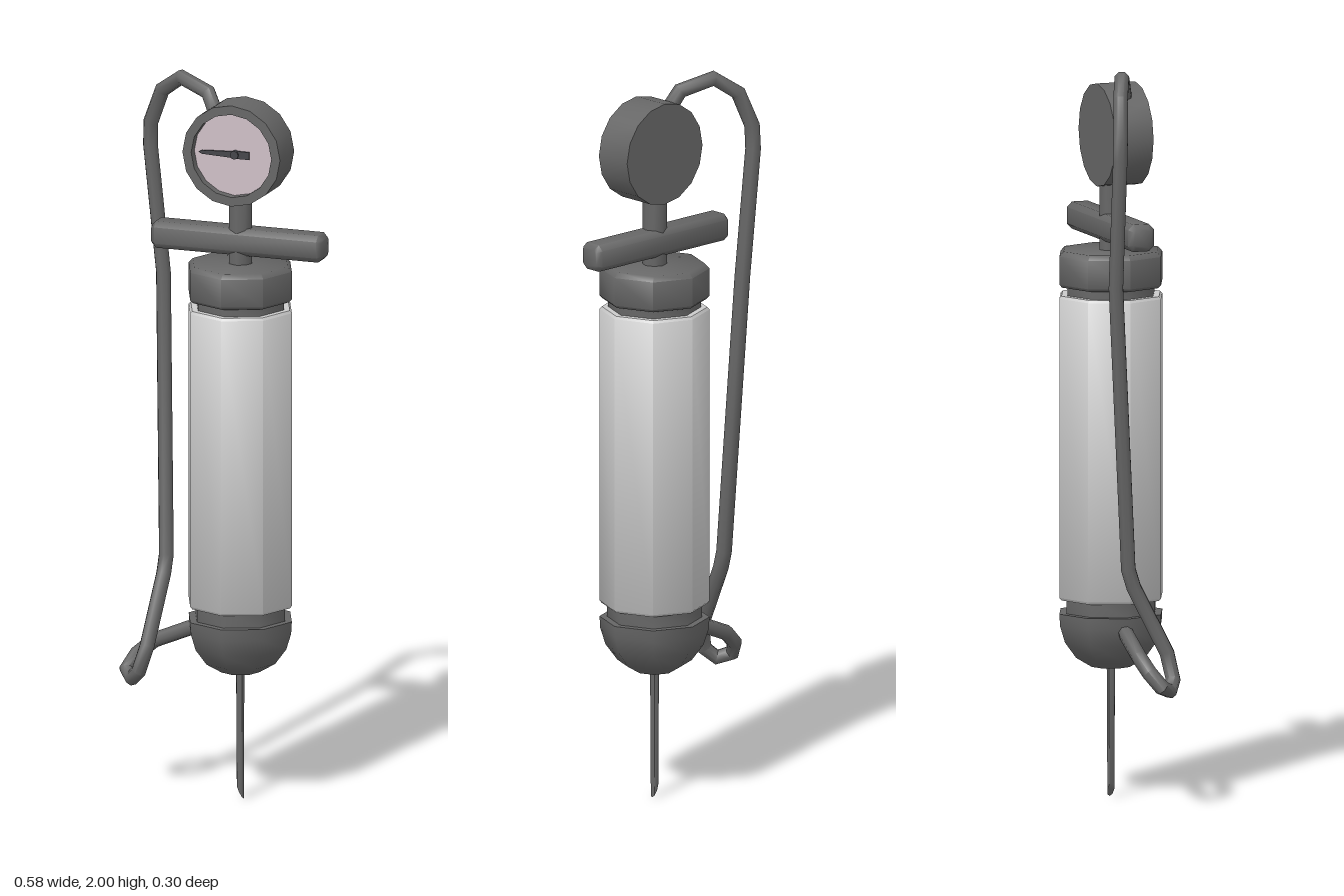
import * as THREE from 'three';
import { toCreasedNormals } from 'three/addons/utils/BufferGeometryUtils.js';

const mat = (color) => new THREE.MeshStandardMaterial({ color });
const grey = mat(0xcccccc), dark = mat(0x666666), dialPink = mat(0xcfbfc7), black = mat(0x444449);
const CX = 0.048; // axis of the pump body

// Tube path made of straight runs with mitred corners
class HosePath extends THREE.Curve {
  constructor(points) {
    super();
    this.p = points.map((a) => new THREE.Vector3(...a));
  }
  getPointAt(u) {
    return this.p[Math.round(u * (this.p.length - 1))].clone();
  }
  getTangentAt(u) {
    const n = this.p.length - 1, i = Math.round(u * n);
    const dir = (a, b) => this.p[b].clone().sub(this.p[a]).normalize();
    const t = new THREE.Vector3();
    if (i > 0) t.add(dir(i - 1, i));
    if (i < n) t.add(dir(i, i + 1));
    return t.normalize();
  }
  getPoint(u) { return this.getPointAt(u); }
}

export function createModel() {
  const model = new THREE.Group();
  model.name = 'handPumpWithGauge';

  const add = (parent, name, geometry, material, x = 0, y = 0, z = 0) => {
    const mesh = new THREE.Mesh(toCreasedNormals(geometry, 0.87), material);
    mesh.name = name;
    mesh.position.set(x, y, z);
    parent.add(mesh);
    return mesh;
  };
  const lathe = (profile, sides) =>
    new THREE.LatheGeometry(profile.map(([r, y]) => new THREE.Vector2(r, y)), sides);

  // Barrel and its end fittings, eight-sided
  add(model, 'barrel', lathe([[0, 0.54], [0.142, 0.54], [0.148, 0.547], [0.148, 1.36], [0.142, 1.367], [0, 1.367]], 8), grey, CX);
  add(model, 'topCap', lathe([[0.125, 1.36], [0.125, 1.39], [0.14, 1.39], [0.148, 1.398], [0.148, 1.475], [0.136, 1.488], [0, 1.488]], 8), dark, CX);
  add(model, 'bottomDome', lathe([[0, 0.348], [0.055, 0.355], [0.1, 0.382], [0.132, 0.425], [0.146, 0.47], [0.148, 0.503], [0.128, 0.503], [0.128, 0.545]], 8), dark, CX);

  // Hollow-looking needle with a slanted tip
  const needle = new THREE.CylinderGeometry(0.012, 0.01, 0.37, 8);
  const np = needle.attributes.position;
  for (let i = 0; i < np.count; i++) {
    if (np.getY(i) < 0) np.setY(i, np.getY(i) + 0.02 - np.getX(i) * 2);
  }
  needle.computeVertexNormals();
  add(model, 'needle', needle, dark, CX, 0.185);

  // Plunger rod and chamfered cross handle
  add(model, 'plungerRod', new THREE.CylinderGeometry(0.033, 0.033, 0.22, 8), dark, CX, 1.58);
  const a = 0.026, b = 0.018;
  const section = new THREE.Shape(
    [[a, -b], [a, b], [b, a], [-b, a], [-a, b], [-a, -b], [-b, -a], [b, -a]].map(([x, y]) => new THREE.Vector2(x, y)));
  const handle = new THREE.ExtrudeGeometry(section, {
    depth: 0.465, bevelEnabled: true, bevelThickness: 0.012, bevelSize: 0.011, bevelSegments: 1,
  });
  handle.translate(0, 0, -0.2325).rotateY(Math.PI / 2);
  add(model, 'handle', handle, dark, 0.046, 1.55, -0.002);

  // Pressure gauge facing forward
  const gauge = new THREE.Group();
  gauge.name = 'gauge';
  gauge.position.set(CX, 1.8, 0);
  model.add(gauge);
  const housing = lathe([[0, -0.04], [0.14, -0.04], [0.14, 0.07], [0.115, 0.07], [0.115, 0.04]], 16);
  add(gauge, 'gaugeHousing', housing.rotateX(Math.PI / 2), dark);
  add(gauge, 'dial', new THREE.CircleGeometry(0.118, 16), dialPink, 0, 0, 0.045);

  // Dial pointer: tapered arm, hub and tail
  const arm = new THREE.Shape([[-0.1, 0], [-0.09, -0.005], [0, -0.009], [0, 0.009], [-0.09, 0.005]].map(([x, y]) => new THREE.Vector2(x, y)));
  add(gauge, 'pointerArm', new THREE.ExtrudeGeometry(arm, { depth: 0.005, bevelEnabled: false }), black, 0, 0, 0.05);
  add(gauge, 'pointerTail', new THREE.BoxGeometry(0.045, 0.021, 0.005), black, 0.023, 0, 0.0525);
  add(gauge, 'pointerHub', new THREE.CylinderGeometry(0.012, 0.012, 0.016, 8).rotateX(Math.PI / 2), black, 0.004, 0, 0.052);

  // Hose from the gauge down to the bottom dome
  const path = new HosePath([
    [0.0, 1.87, 0.02], [-0.022, 1.91, 0.012], [-0.045, 1.952, -0.002], [-0.135, 1.977, -0.038],
    [-0.2, 1.93, -0.066], [-0.238, 1.835, -0.08], [-0.24, 1.77, -0.082], [-0.202, 1.42, -0.08],
    [-0.177, 0.65, -0.035], [-0.179, 0.6, -0.02], [-0.193, 0.42, 0.07], [-0.213, 0.35, 0.08],
    [-0.24, 0.323, 0.06], [-0.267, 0.337, 0.028], [-0.248, 0.375, 0.0], [-0.205, 0.413, -0.014],
    [-0.1, 0.458, -0.01], [-0.04, 0.48, 0],
  ]);
  add(model, 'hose', new THREE.TubeGeometry(path, path.p.length - 1, 0.021, 8, false), dark);

  return model;
}
